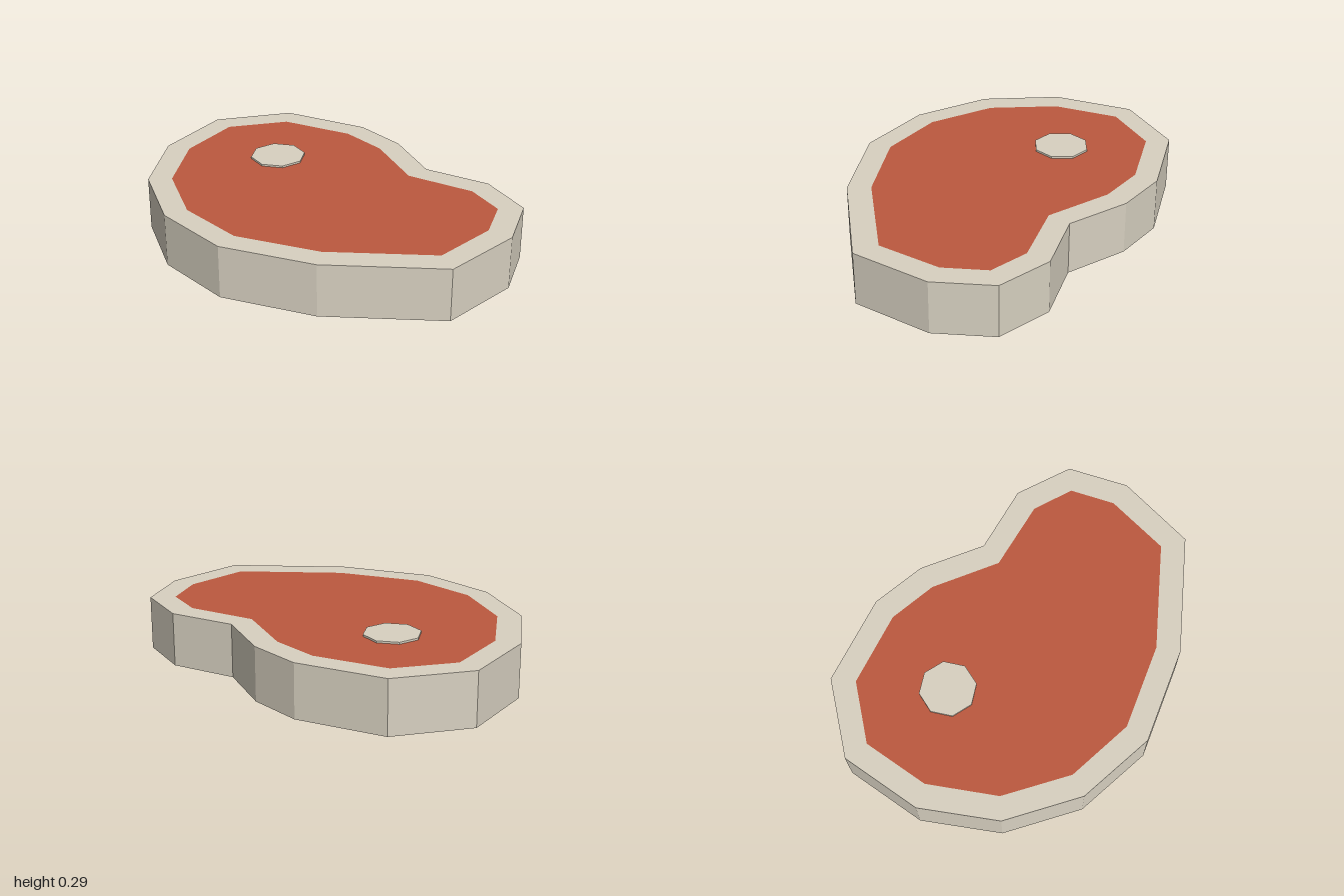
import * as THREE from 'three';

const BOTTOM = 0.01, TOP = 0.285;

// Outlines as [x, z], clockwise seen from above
const RIM = [
  [-1, -0.39], [-0.72, -0.695], [-0.265, -0.76], [0.01, -0.685], [0.295, -0.495],
  [0.64, -0.525], [0.91, -0.385], [1, -0.085], [0.915, 0.33], [0.385, 0.64],
  [-0.09, 0.757], [-0.495, 0.66], [-0.82, 0.405], [-1, 0.035],
];
const MEAT = [
  [-0.882, -0.348], [-0.66, -0.585], [-0.285, -0.64], [-0.04, -0.575], [0.26, -0.377],
  [0.615, -0.403], [0.81, -0.305], [0.875, -0.085], [0.81, 0.25], [0.335, 0.53],
  [-0.09, 0.635], [-0.44, 0.555], [-0.725, 0.33], [-0.882, 0],
];

// Flat horizontal face; side = 1 faces up, -1 faces down
function face(outline, hole, y, side) {
  const points = (list) => list.map(([x, z]) => new THREE.Vector2(x, -side * z));
  const shape = new THREE.Shape(points(outline));
  if (hole) shape.holes.push(new THREE.Path(points(hole)));
  return new THREE.ShapeGeometry(shape).rotateX(-side * Math.PI / 2).translate(0, y, 0);
}

// Flat-shaded wall following an outline
function wall(outline, y0, y1) {
  const positions = [];
  outline.forEach(([ax, az], i) => {
    const [bx, bz] = outline[(i + 1) % outline.length];
    positions.push(bx, y0, bz, ax, y0, az, ax, y1, az);
    positions.push(bx, y0, bz, ax, y1, az, bx, y1, bz);
  });
  const geometry = new THREE.BufferGeometry();
  geometry.setAttribute('position', new THREE.Float32BufferAttribute(positions, 3));
  geometry.computeVertexNormals();
  return geometry;
}

export function createModel() {
  const fat = new THREE.MeshStandardMaterial({ color: 0xd8d1c1, flatShading: true });
  fat.name = 'fat';
  const meat = new THREE.MeshStandardMaterial({ color: 0xbc593f, flatShading: true });
  meat.name = 'meat';

  const steak = new THREE.Group();
  steak.name = 'steak';
  const add = (name, geometry, material) => {
    const mesh = new THREE.Mesh(geometry, material);
    mesh.name = name;
    steak.add(mesh);
    return mesh;
  };

  // Fat rim and the meat it encloses
  add('fatEdge', wall(RIM, BOTTOM, TOP), fat);
  for (const [label, y, side] of [['Top', TOP, 1], ['Bottom', BOTTOM, -1]]) {
    add('fatRim' + label, face(RIM, MEAT, y, side), fat);
    add('meat' + label, face(MEAT, null, y, side), meat);
  }

  // Octagonal bone, standing slightly proud on both faces
  const height = 0.295;
  add('bone', new THREE.CylinderGeometry(0.143, 0.143, height, 8), fat)
    .position.set(-0.433, height / 2, -0.19);

  return steak;
}
